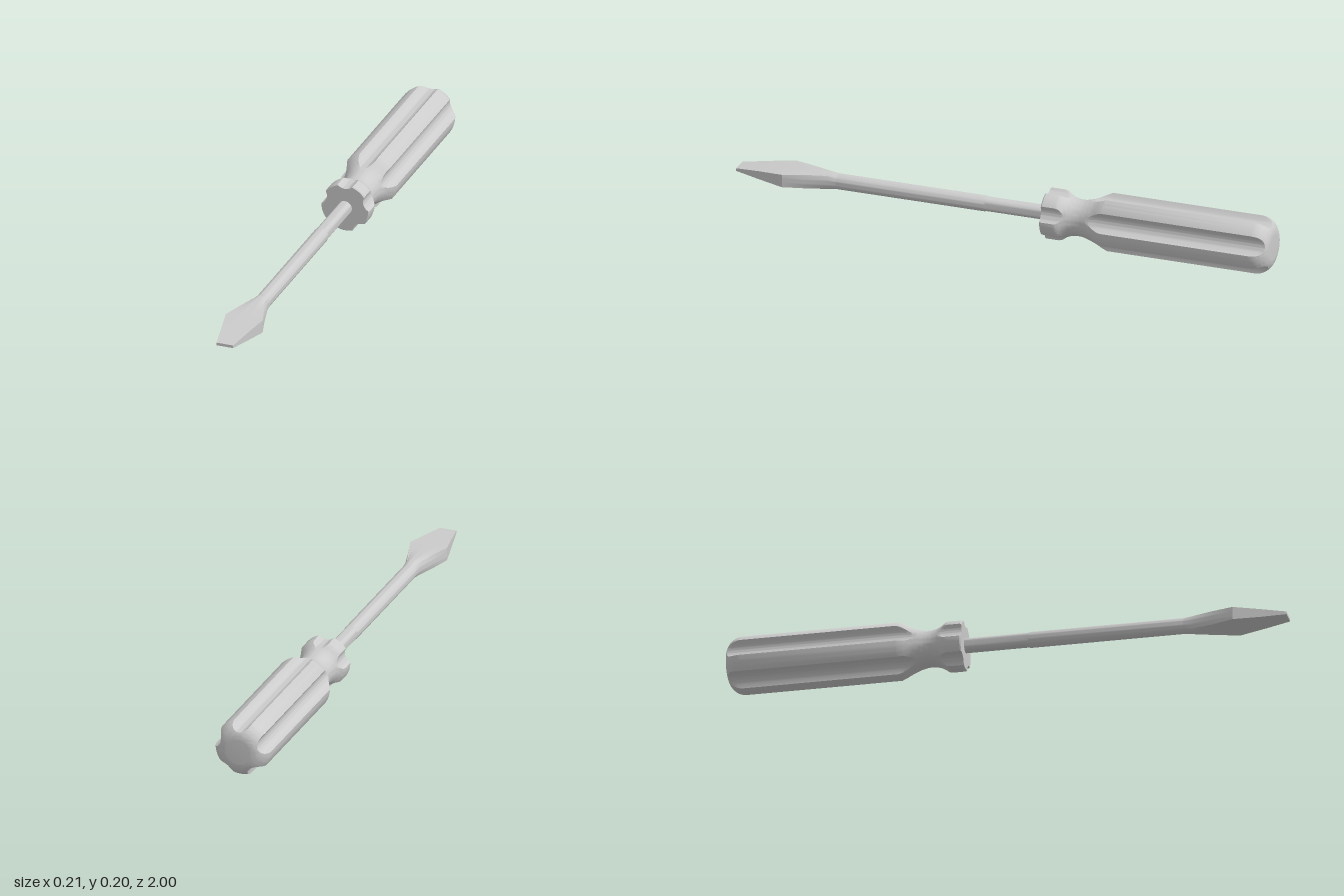
import * as THREE from 'three';
import { toCreasedNormals } from 'three/addons/utils/BufferGeometryUtils.js';

const AXIS_Y = 0.103;
const LOBES = 5;
const FLUTE_D = 0.111, FLUTE_R = 0.038; // flute circle: distance from axis, radius

// Closed skin over rings of [x, y, z] points, ordered from back (-z) to front (+z)
function loft(rings, crease) {
  const n = rings[0].length, pos = rings.flat(2), idx = [];
  for (let i = 0; i < rings.length - 1; i++) {
    for (let j = 0; j < n; j++) {
      const a = i * n + j, b = i * n + (j + 1) % n;
      idx.push(a, b, b + n, a, b + n, a + n);
    }
  }
  const back = pos.length / 3, front = back + 1, last = (rings.length - 1) * n;
  pos.push(0, 0, rings[0][0][2], 0, 0, rings[rings.length - 1][0][2]);
  for (let j = 0; j < n; j++) {
    const k = (j + 1) % n;
    idx.push(back, k, j, front, last + j, last + k);
  }
  const g = new THREE.BufferGeometry();
  g.setAttribute('position', new THREE.Float32BufferAttribute(pos, 3));
  g.setIndex(idx);
  return toCreasedNormals(g, crease);
}

// Circle of radius R with five round flutes cut out of it
function flutedRing(z, R) {
  const cos = (R * R + FLUTE_D ** 2 - FLUTE_R ** 2) / (2 * R * FLUTE_D);
  const half = Math.max(0.06, Math.acos(Math.min(1, cos)));
  const pitch = Math.PI * 2 / LOBES, ring = [];
  const add = (mid, off, cut) => {
    const s = FLUTE_D * Math.sin(off);
    const r = cut && Math.abs(s) < FLUTE_R
      ? Math.min(R, FLUTE_D * Math.cos(off) - Math.sqrt(FLUTE_R ** 2 - s * s)) : R;
    ring.push([r * Math.cos(mid + off), r * Math.sin(mid + off), z]);
  };
  for (let l = 0; l < LOBES; l++) {
    const mid = Math.PI / 2 + l * pitch;
    for (let i = 0; i <= 14; i++) add(mid, half * (i / 7 - 1), i > 0 && i < 14);
    for (let i = 1; i < 8; i++) add(mid, half + (pitch - 2 * half) * i / 8, false);
  }
  return ring;
}

// Section blending from an ellipse (square = 0) to a rectangle (square = 1)
function bladeRing(z, hw, ht, square) {
  const ring = [];
  for (let i = 0; i < 32; i++) {
    const t = i / 32 * Math.PI * 2, c = Math.cos(t), s = Math.sin(t);
    const k = 1 + square * (1 / Math.max(Math.abs(c), Math.abs(s)) - 1);
    ring.push([hw * c * k, ht * s * k, z]);
  }
  return ring;
}

export function createModel() {
  const group = new THREE.Group();
  const material = new THREE.MeshStandardMaterial({ color: 0xcccccc });
  const add = (name, geometry) => {
    const mesh = new THREE.Mesh(geometry, material);
    mesh.name = name;
    mesh.position.y = AXIS_Y;
    group.add(mesh);
  };

  // Handle profile: rounded butt, straight grip, waisted neck, collar
  const profile = [];
  for (let i = 0; i <= 12; i++) {
    const a = Math.PI / 2 * (1 - i / 12);
    profile.push([-0.94 - 0.06 * Math.sin(a), 0.045 + 0.058 * Math.cos(a)]);
  }
  const neck = new THREE.SplineCurve([
    [-0.385, 0.103], [-0.365, 0.094], [-0.335, 0.078], [-0.3, 0.067],
    [-0.27, 0.065], [-0.24, 0.072], [-0.215, 0.088],
  ].map(([z, r]) => new THREE.Vector2(z, r)));
  for (const p of neck.getPoints(30)) profile.push([p.x, p.y]);
  profile.push([-0.205, 0.09], [-0.158, 0.09], [-0.154, 0.087]);
  add('handle', loft(profile.map(([z, r]) => flutedRing(z, r)), 0.6));

  // Shaft, slightly thicker toward the blade
  add('shaft', loft([
    [-0.17, 0.026], [0.07, 0.026], [0.08, 0.028], [0.63, 0.028],
  ].map(([z, r]) => bladeRing(z, r, r, 0)), 0.6));

  // Flared flat blade tapering to the tip
  add('blade', loft([
    bladeRing(0.63, 0.028, 0.028, 0),
    bladeRing(0.66, 0.029, 0.032, 0.15),
    bladeRing(0.74, 0.05, 0.028, 0.7),
    bladeRing(0.815, 0.069, 0.0235, 1),
    bladeRing(0.91, 0.049, 0.015, 1),
    bladeRing(1, 0.031, 0.005, 1),
  ], 0.4));

  return group;
}
